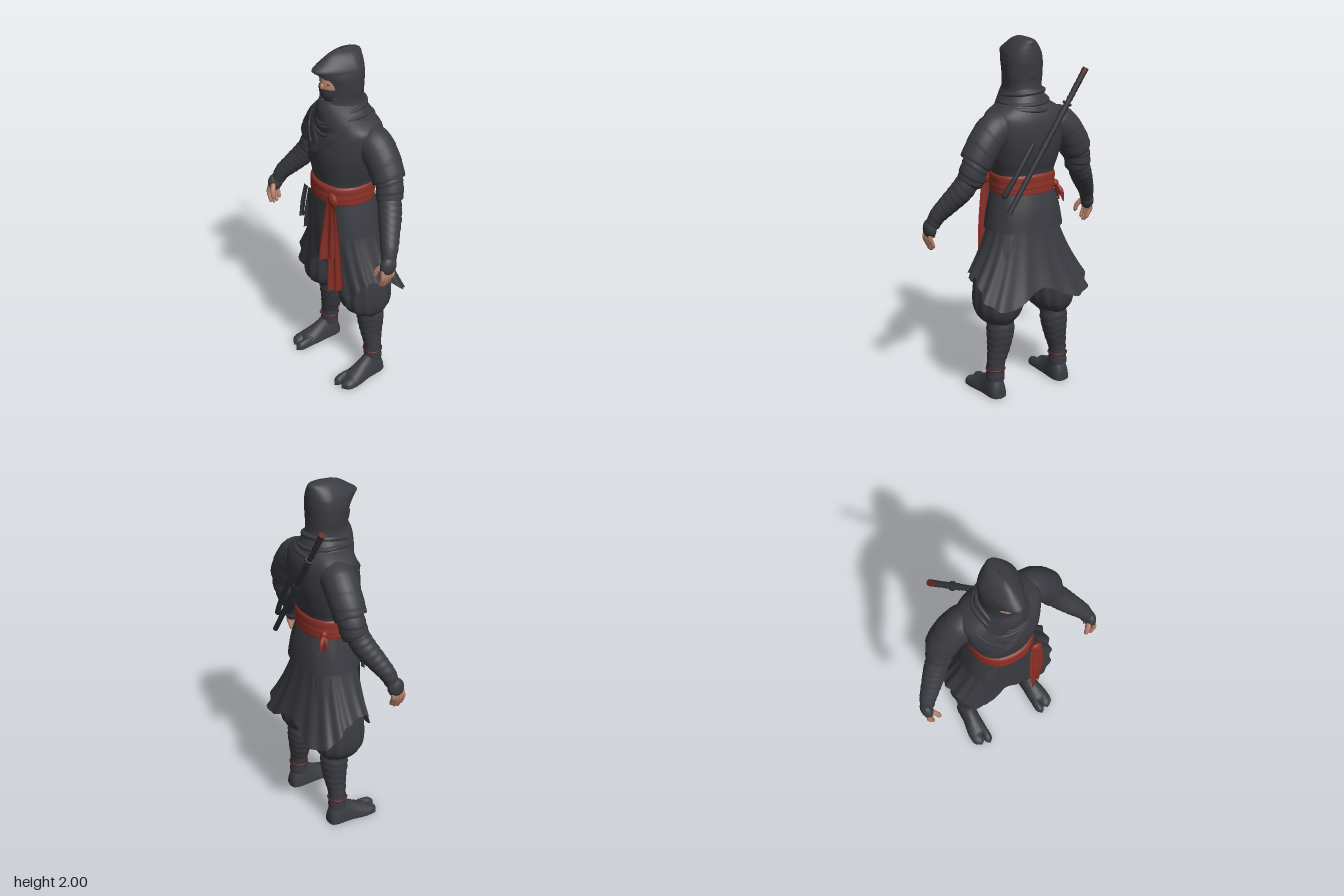
import * as THREE from 'three';
import { mergeVertices } from 'three/addons/utils/BufferGeometryUtils.js';

const V = (x, y, z) => new THREE.Vector3(x, y, z);
const material = (name, color) => Object.assign(new THREE.MeshStandardMaterial({ color, side: THREE.DoubleSide }), { name });
const { sin, cos, abs, sign, pow, PI } = Math;

// Surface from a rule f(u, v) -> [x, y, z]
function grid(f, nu, nv) {
  const pos = [], idx = [], w = nu + 1;
  for (let j = 0; j <= nv; j++) for (let i = 0; i <= nu; i++) pos.push(...f(i / nu, j / nv));
  for (let j = 0; j < nv; j++) for (let i = 0; i < nu; i++) {
    const a = j * w + i;
    idx.push(a, a + 1, a + w, a + 1, a + w + 1, a + w);
  }
  let g = new THREE.BufferGeometry();
  g.setAttribute('position', new THREE.Float32BufferAttribute(pos, 3));
  g.setIndex(idx);
  g = mergeVertices(g, 1e-5);
  g.computeVertexNormals();
  return g;
}

// Smooth sample of one column of a table
function sample(rows, k, t) {
  const n = rows.length - 1, i = Math.min(n - 1, Math.floor(t * n)), f = t * n - i;
  const at = (j) => rows[Math.max(0, Math.min(n, j))][k] ?? 0;
  const a = at(i - 1), b = at(i), c = at(i + 1), d = at(i + 2);
  return b + 0.5 * f * (c - a + f * (2 * a - 5 * b + 4 * c - d + f * (3 * (b - c) + d - a)));
}

// Stacked rings, rows bottom to top: [y, halfWidth, back, front, centreX, openingAngle]
function loft(rows, { e = 1, peak = null, pleats = 0, depth = 0, steps = 5, nu = 48 } = {}) {
  return grid((u, t) => {
    const [y, rx, zb, zf, cx, open] = [0, 1, 2, 3, 4, 5].map((k) => sample(rows, k, t));
    const o = Math.max(0, open), a = o + u * (2 * PI - 2 * o), s = sin(a), c = cos(a);
    const m = 1 + depth * sin(pleats * a) * sin(PI * t);
    const ef = peak ? peak(y) : e;
    return [cx + m * rx * sign(s) * pow(abs(s), e), y, m * (c > 0 ? zf * pow(c, ef) : zb * pow(-c, e))];
  }, nu, (rows.length - 1) * steps);
}

// Round limb through [x, y, z, radius], with optional wrapped bandage ridges
function limb(pts, { wraps = 0, ridge = 0.07, n = 36, s = 1 } = {}) {
  const curve = new THREE.CatmullRomCurve3(pts.map((p) => V(p[0] * s, p[1], p[2])));
  const fr = curve.computeFrenetFrames(n);
  return grid((u, v) => {
    const i = Math.round(v * n), a = u * 2 * PI, c = curve.getPointAt(v);
    let r = sample(pts, 3, curve.getUtoTmapping(v));
    if (wraps) r *= 1 + ridge * (((v * wraps + 0.35 * sin(a)) % 1 + 1) % 1 - 0.5);
    c.addScaledVector(fr.normals[i], r * cos(a)).addScaledVector(fr.binormals[i], r * sin(a));
    return [c.x, c.y, c.z];
  }, 24, n);
}

// Hanging strip through [x, y, z, width], rippled and turned across
const strip = (pts, ripple = 0.01, k = 9, turn = 0) => grid((u, v) => {
  const [x, y, z, w] = [0, 1, 2, 3].map((i) => sample(pts, i, v));
  return [x + (u - 0.5) * w, y + 0.03 * (u - 0.5) * v, z + v * (ripple * sin(u * k) - turn * (u - 0.5))];
}, 16, 16);

const TORSO = [[1.14, 0.165, -0.115, 0.165], [1.27, 0.17, -0.118, 0.168], [1.35, 0.192, -0.14, 0.178], [1.45, 0.215, -0.158, 0.182],
  [1.55, 0.225, -0.158, 0.16], [1.61, 0.212, -0.142, 0.132], [1.665, 0.12, -0.11, 0.11]];
function torsoZ(x, y) {
  let i = 0;
  while (i < TORSO.length - 2 && TORSO[i + 1][0] < y) i++;
  const [a, b] = [TORSO[i], TORSO[i + 1]], f = (y - a[0]) / (b[0] - a[0]);
  const rx = a[1] + (b[1] - a[1]) * f, zf = a[3] + (b[3] - a[3]) * f;
  return zf * pow(Math.max(0, 1 - pow(abs(x / rx), 2.35)), 0.425);
}

export function createModel() {
  const root = new THREE.Group();
  root.name = 'hoodedWarrior';
  const cloth = material('charcoalCloth', 0x3a3b41), red = material('redSash', 0x8a3026);
  const skin = material('skin', 0xb57f6a), dark = material('blackLacquer', 0x303136), maroon = material('maroonCord', 0x5c2522);
  const add = (name, geo, mat) => {
    const m = new THREE.Mesh(geo, mat);
    m.name = name;
    root.add(m);
    return m;
  };
  const bar = (name, a, b, r, mat, r2 = r) => {
    const m = add(name, new THREE.CylinderGeometry(r2, r, a.distanceTo(b), 14), mat);
    m.position.copy(a).lerp(b, 0.5);
    m.quaternion.setFromUnitVectors(V(0, 1, 0), b.clone().sub(a).normalize());
    return m;
  };
  const blob = (name, p, r, mat) => {
    const m = add(name, new THREE.SphereGeometry(1, 20, 14), mat);
    m.position.set(...p);
    m.scale.set(...r);
    return m;
  };

  // Head: forehead cloth, bare eye band and mask
  for (const [name, mat, t0, t1, k] of [['foreheadCloth', cloth, 0, 1.14, 1.02], ['eyeBand', skin, 1.05, 1.6, 1], ['faceMask', cloth, 1.52, PI, 1.05]]) {
    const m = add(name, new THREE.SphereGeometry(1, 32, 14, 0, 2 * PI, t0, t1 - t0), mat);
    m.position.set(0, 1.81, 0.034);
    m.scale.set(0.08 * k, 0.12, 0.118 * k);
  }
  blob('nose', [0, 1.822, 0.148], [0.012, 0.018, 0.014], skin);
  for (const s of [-1, 1]) blob('eye', [s * 0.032, 1.839, 0.136], [0.012, 0.003, 0.005], dark);
  // Peaked hood, open at the face
  add('hood', loft([[1.67, 0.115, -0.1, 0.16, 0, 0.1], [1.74, 0.1, -0.086, 0.154, 0, 0.5], [1.8, 0.105, -0.086, 0.145, 0, 0.66],
    [1.86, 0.106, -0.09, 0.16, 0, 0.58], [1.895, 0.102, -0.09, 0.188, 0, 0.3], [1.92, 0.095, -0.089, 0.205, 0, 0], [1.955, 0.074, -0.086, 0.152],
    [1.985, 0.043, -0.076, 0.1], [2.0, 0.002, -0.01, 0.05]], { peak: (y) => 1 + 0.6 * THREE.MathUtils.smoothstep(y, 1.86, 1.92) }), cloth);
  // Draped neck cowl
  add('cowl', loft([[1.53, 0.17, -0.14, 0.15], [1.6, 0.17, -0.142, 0.165], [1.66, 0.138, -0.118, 0.172], [1.71, 0.108, -0.096, 0.17], [1.75, 0.09, -0.08, 0.152]]), cloth);
  for (let i = 0; i < 3; i++) {
    const y = 1.625 + 0.04 * i, r = 0.152 - 0.022 * i, pts = [];
    for (let j = 0; j < 16; j++) {
      const a = j * PI / 8, c = cos(a);
      pts.push(V(r * sin(a), y - 0.07 * pow(Math.max(0, c), 2) + 0.012 * sin(a + i * 2), c > 0 ? c * (0.157 + 0.004 * i) : c * (0.134 - 0.018 * i)));
    }
    add('cowlFold', new THREE.TubeGeometry(new THREE.CatmullRomCurve3(pts, true), 64, 0.013, 8, true), cloth);
  }

  // Jacket with crossed collar bands
  add('jacket', loft(TORSO, { e: 0.85, pleats: 11, depth: 0.008 }), cloth);
  const band = (pts, w, lift) => {
    const c = new THREE.CatmullRomCurve3(pts.map((p) => V(p[0], p[1], 0)));
    return grid((u, v) => {
      const p = c.getPoint(v), t = c.getTangent(v), d = (u - 0.5) * w, x = p.x - t.y * d, y = p.y + t.x * d;
      return [x, y, torsoZ(x, y) + lift * pow(sin(PI * u), 0.5)];
    }, 8, 30);
  };
  add('collarBand', band([[-0.11, 1.62], [-0.06, 1.53], [0.0, 1.47]], 0.045, 0.006), cloth);
  add('collarBand', band([[0.12, 1.62], [0.05, 1.53], [-0.05, 1.44], [-0.15, 1.34]], 0.055, 0.011), cloth);
  add('chestStrap', band([[-0.18, 1.6], [-0.13, 1.53], [-0.08, 1.48]], 0.022, 0.009), cloth);

  // Waist: jacket tail, sash folds, knot and hanging ends
  add('jacketTail', loft([[0.97, 0.222, -0.165, 0.185, 0, 0.55], [1.08, 0.2, -0.15, 0.178, 0, 0.5], [1.2, 0.168, -0.118, 0.168, 0, 0.45]], { e: 0.85, pleats: 9, depth: 0.012 }), cloth);
  add('sash', loft([[1.16, 0.168, -0.118, 0.17], [1.172, 0.178, -0.128, 0.183], [1.2, 0.178, -0.127, 0.184], [1.205, 0.181, -0.13, 0.187], [1.235, 0.178, -0.127, 0.184],
    [1.24, 0.18, -0.129, 0.186], [1.265, 0.178, -0.127, 0.184], [1.278, 0.168, -0.117, 0.17]], { e: 0.88 }), red);
  blob('sashKnot', [0.125, 1.222, 0.182], [0.036, 0.04, 0.02], red).rotation.z = 0.4;
  add('sashEnd', strip([[0.11, 1.22, 0.192, 0.045], [0.112, 1.05, 0.203, 0.075], [0.113, 0.93, 0.212, 0.085], [0.115, 0.85, 0.212, 0.09]], 0.012, 10, 0.055), red);
  add('sashEnd', strip([[0.135, 1.2, 0.188, 0.045], [0.145, 1.0, 0.19, 0.07], [0.15, 0.83, 0.192, 0.085], [0.147, 0.645, 0.186, 0.085]], 0.012, 12, 0.04), red);
  blob('sideKnot', [-0.15, 1.2, -0.085], [0.02, 0.022, 0.02], red);
  for (const d of [-0.015, 0.015]) add('sideKnotEnd', limb([[-0.155, 1.2, -0.09, 0.008], [-0.168, 1.16, -0.1 + d, 0.014], [-0.175, 1.105, -0.108 + 1.5 * d, 0.003]]), red);
  for (const [x, l] of [[-0.155, 0.97], [-0.115, 0.92]]) add('hangingCord', strip([[x, 1.17, 0.155, 0.035], [x - 0.008, (1.17 + l) / 2, 0.172, 0.045], [x - 0.015, l, 0.178, 0.05]], 0.005), cloth);

  // Pleated overskirt with a pointed hem, and front apron
  const hem = [[0.81], [0.61], [0.69], [0.73], [0.7], [0.61], [0.57], [0.66]];
  add('overskirt', grid((u, v) => {
    const a = u * 2 * PI, h = sample(hem, 0, 1 - abs(1 - 2 * u)), y = h + (1.15 - h) * v;
    const f = (1.15 - y) / 0.56, m = 1 + 0.03 * f * sin(18 * a), s = sin(a), c = cos(a);
    const rx = 0.16 + 0.075 * f + 0.185 * f * f, zb = 0.108 + 0.045 * f + 0.08 * f * f;
    return [m * rx * sign(s) * pow(abs(s), 0.85), y, m * (c > 0 ? (0.158 + 0.015 * f) * pow(c, 0.75) : -zb * pow(-c, 0.85))];
  }, 160, 18), cloth);
  add('frontApron', grid((u, v) => {
    const x = -0.11 + 0.23 * u + (u - 0.3) * 0.04 * (1 - v), low = 0.8 + 0.02 * sin(9 * u);
    return [x, low + (1.18 - low) * v, 0.188 - 1.2 * x * x + 0.004 * sin(14 * u) * (1 - v)];
  }, 24, 10), cloth);

  for (const s of [-1, 1]) {
    const side = s > 0 ? 'left' : 'right';
    const part = (name, geo, mat = cloth) => add(side + name, geo, mat);
    // Arms: short sleeve over rolled sleeve, wrapped forearm
    part('Sleeve', limb([[0.12, 1.545, -0.025, 0.085], [0.2, 1.525, -0.03, 0.095], [0.268, 1.455, -0.036, 0.093], [0.325, 1.36, -0.034, 0.085], [0.322, 1.367, -0.034, 0.06]], { s, wraps: 4, ridge: 0.025 }));
    part('RolledSleeve', limb([[0.29, 1.42, -0.034, 0.068], [0.328, 1.34, -0.034, 0.073], [0.347, 1.265, -0.02, 0.07], [0.354, 1.25, -0.017, 0.05]], { s, wraps: 4, ridge: 0.06 }));
    part('WrappedForearm', limb([[0.338, 1.3, -0.022, 0.06], [0.382, 1.22, 0.004, 0.063], [0.44, 1.14, 0.05, 0.055], [0.49, 1.07, 0.09, 0.045], [0.508, 1.02, 0.108, 0.038]], { s, wraps: 9, ridge: 0.06 }));
    blob(side + 'Glove', [s * 0.52, 1.0, 0.12], [0.034, 0.055, 0.048], cloth).rotation.x = -0.25;
    // Fingers and thumb
    for (let i = 0; i < 4; i++) {
      const z = 0.097 + 0.02 * i, l = [0.02, 0.005, 0, 0.012][i];
      part('Finger', limb([[0.522, 0.99, z, 0.012], [0.53, 0.945, z + 0.004, 0.0135], [0.52, 0.905 + l, z + 0.006, 0.012], [0.508, 0.877 + l, z + 0.006, 0.009], [0.505, 0.869 + l, z + 0.006, 0.001]], { s, n: 14 }), skin);
    }
    part('Thumb', limb([[0.505, 1.0, 0.145, 0.015], [0.482, 0.968, 0.164, 0.014], [0.472, 0.935, 0.17, 0.011], [0.469, 0.922, 0.172, 0.001]], { s, n: 14 }), skin);

    // Legs: baggy trousers, wrapped shins, ankle cord
    part('Trouser', loft([[0.435, 0.065, -0.1, 0.03, s * 0.178], [0.46, 0.092, -0.122, 0.075, s * 0.18], [0.505, 0.127, -0.148, 0.125, s * 0.174], [0.58, 0.143, -0.16, 0.143, s * 0.166],
      [0.7, 0.14, -0.15, 0.14, s * 0.155], [0.85, 0.115, -0.135, 0.13, s * 0.13], [1.0, 0.09, -0.11, 0.12, s * 0.1]], { pleats: 14, depth: 0.025, nu: 84 }));
    part('WrappedShin', limb([[0.176, 0.48, -0.035, 0.072], [0.179, 0.4, -0.038, 0.078], [0.19, 0.3, -0.038, 0.066], [0.208, 0.2, -0.036, 0.051], [0.214, 0.1, -0.036, 0.052]], { s, wraps: 9, ridge: 0.06 }));
    const cord = part('AnkleCord', new THREE.TorusGeometry(0.052, 0.005, 8, 32), maroon);
    cord.position.set(s * 0.211, 0.165, -0.036);
    cord.rotation.x = PI / 2;
    blob(side + 'CordKnot', [s * 0.235, 0.165, 0.012], [0.009, 0.008, 0.008], maroon);

    // Split-toed shoe, sections along z: [z, centreX, halfWidth, height]
    const shoe = (rows) => grid((u, v) => {
      const [z, cx, w, h] = [0, 1, 2, 3].map((k) => sample(rows, k, v)), a = u * 2 * PI, y = sin(a);
      return [s * cx - w * cos(a) * (y > 0 ? 1 : 1.03), y > 0 ? 0.015 + (h - 0.015) * y : 0.015 * (1 - pow(-y, 0.4)), z];
    }, 28, (rows.length - 1) * 5);
    part('Shoe', shoe([[-0.096, 0.214, 0.002, 0.02], [-0.09, 0.214, 0.036, 0.07], [-0.06, 0.214, 0.05, 0.135], [-0.01, 0.215, 0.052, 0.15], [0.04, 0.218, 0.053, 0.115],
      [0.1, 0.224, 0.06, 0.08], [0.145, 0.227, 0.06, 0.06], [0.165, 0.228, 0.045, 0.03]]));
    part('BigToe', shoe([[0.1, 0.192, 0.022, 0.06], [0.16, 0.189, 0.025, 0.056], [0.205, 0.192, 0.024, 0.045], [0.228, 0.194, 0.002, 0.018]]));
    part('OuterToes', shoe([[0.1, 0.245, 0.038, 0.06], [0.155, 0.25, 0.038, 0.052], [0.19, 0.247, 0.032, 0.042], [0.212, 0.243, 0.002, 0.018]]));
  }

  // Sword slung across the back, and a shorter blade beside it
  const tip = V(0.205, 1.105, -0.178), end = V(-0.275, 1.83, -0.178), on = (t) => tip.clone().lerp(end, t);
  bar('scabbard', tip, on(0.75), 0.014, dark, 0.016);
  bar('swordGuard', on(0.75), on(0.762), 0.025, dark);
  bar('swordGrip', on(0.76), on(0.97), 0.014, dark, 0.016);
  bar('swordPommel', on(0.967), on(1), 0.017, maroon);
  for (const t of [0.45, 0.68]) bar('scabbardBinding', on(t), on(t + 0.04), 0.018, dark);
  for (let i = 0; i < 6; i++) bar('gripWrap', on(0.785 + i * 0.03), on(0.8 + i * 0.03), 0.0165, dark);
  add('shortScabbard', limb([[0.05, 1.46, -0.168, 0.012], [0.11, 1.37, -0.17, 0.014], [0.17, 1.275, -0.165, 0.014], [0.222, 1.19, -0.15, 0.016], [0.225, 1.185, -0.149, 0.002]]), dark);
  return root;
}
